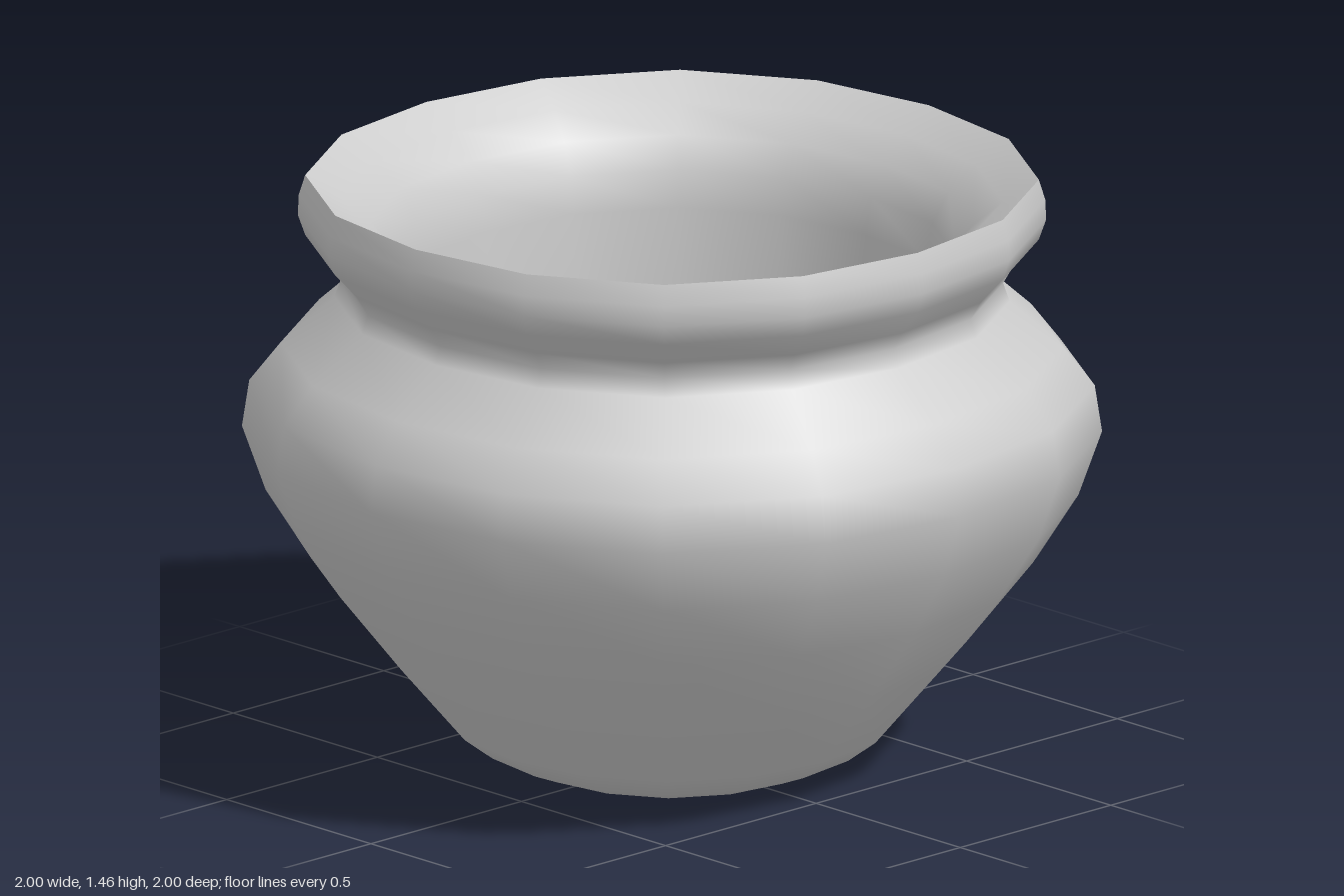
import * as THREE from 'three';

const SIDES = 16;

// Turns a list of [radius, height] pairs into a smooth-shaded lathe,
// slightly fuller on the diagonals so the plan is a softly squared circle
function turned(name, profile, material) {
  const points = profile.map(([r, y]) => new THREE.Vector2(r, y));
  const geometry = new THREE.LatheGeometry(points, SIDES);
  const pos = geometry.attributes.position;
  for (let i = 0; i < pos.count; i++) {
    const x = pos.getX(i), z = pos.getZ(i);
    const k = 1 + 0.016 * (1 - Math.cos(4 * Math.atan2(z, x)));
    pos.setX(i, x * k);
    pos.setZ(i, z * k);
  }
  const mesh = new THREE.Mesh(geometry, material);
  mesh.name = name;
  return mesh;
}

export function createModel() {
  const group = new THREE.Group();
  group.name = 'pot';
  const clay = new THREE.MeshStandardMaterial({ color: 0xcccccc });

  // Outside: rounded foot, flaring belly, shoulder, pinched neck and rolled lip
  group.add(turned('outerWall', [
    [0, 0], [0.2, 0.007], [0.38, 0.022], [0.455, 0.053], [0.525, 0.107],
    [0.685, 0.3], [0.84, 0.5], [0.945, 0.67], [1, 0.83], [0.983, 0.945],
    [0.91, 1.04], [0.785, 1.155], [0.77, 1.2], [0.795, 1.245],
    [0.853, 1.31], [0.87, 1.36], [0.868, 1.41], [0.853, 1.46],
  ], clay));

  // Inside: shallow dished mouth, steep throat and rounded floor
  group.add(turned('innerWall', [
    [0.853, 1.46], [0.77, 1.405], [0.7, 1.345], [0.66, 1.27], [0.643, 1.18],
    [0.635, 1.0], [0.615, 0.75], [0.565, 0.5], [0.48, 0.32], [0.36, 0.21],
    [0.2, 0.16], [0, 0.15],
  ], clay));

  return group;
}
